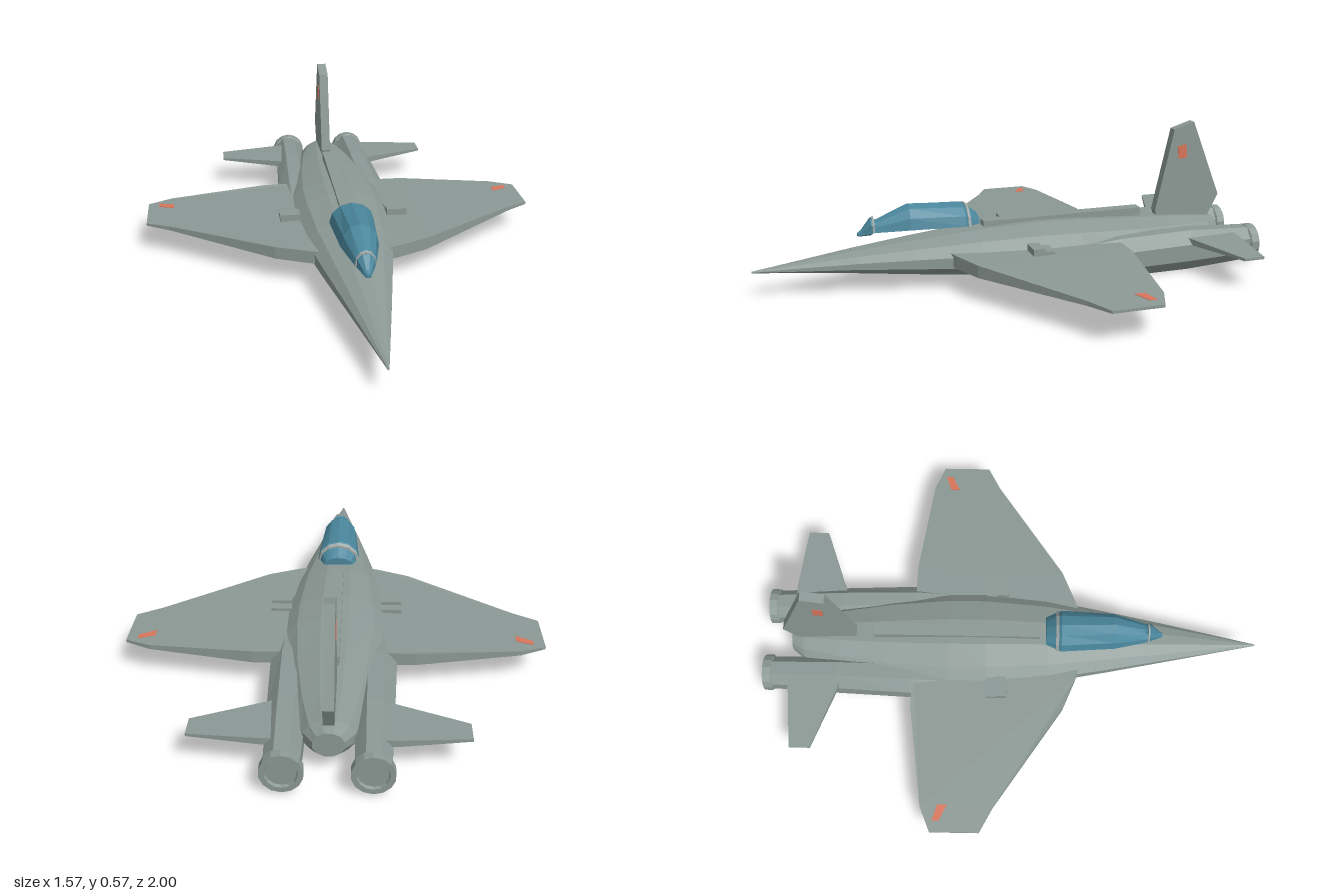
import * as THREE from 'three';

const flat = (name, color) => {
  const m = new THREE.MeshStandardMaterial({ color, flatShading: true });
  m.name = name;
  return m;
};

// Skin through elliptical sections [z, half width, bottom, top, centre x], from front to back
function loft(stations, sides, angle = Math.PI * 2, start = Math.PI / sides) {
  const pos = [], idx = [], full = angle > 6;
  const n = full ? sides : sides + 1;
  for (const [z, w, y0, y1, cx = 0] of stations) {
    for (let j = 0; j < n; j++) {
      const a = start + (j / sides) * angle;
      const y = full ? (y0 + y1) / 2 + ((y1 - y0) / 2) * Math.sin(a) / Math.cos(start)
        : y0 + (y1 - y0) * Math.sin(a);
      pos.push(cx + w * Math.cos(a), y, z);
    }
  }
  const last = stations.length - 1;
  for (let i = 0; i < last; i++) {
    for (let j = 0; j < n; j++) {
      const k = (j + 1) % n, a = i * n, b = a + n;
      idx.push(a + j, b + j, a + k, a + k, b + j, b + k);
    }
  }
  // End caps
  for (let j = 1; j < n - 1; j++) {
    idx.push(0, j, j + 1, last * n, last * n + j + 1, last * n + j);
  }
  const g = new THREE.BufferGeometry();
  g.setAttribute('position', new THREE.Float32BufferAttribute(pos, 3));
  g.setIndex(idx);
  const out = g.toNonIndexed();
  out.computeVertexNormals();
  return out;
}

const extrude = (pts, depth) => new THREE.ExtrudeGeometry(
  new THREE.Shape(pts.map(([a, b]) => new THREE.Vector2(a, b))), { depth, bevelEnabled: false });

// Horizontal plate from [x, z] points; half thickness follows x
function wingPlate(pts, side, midY, halfAt) {
  const g = extrude(pts.map(([x, z]) => [x * side, -z]), 1).rotateX(-Math.PI / 2);
  const p = g.attributes.position;
  for (let i = 0; i < p.count; i++) {
    p.setY(i, midY + (p.getY(i) > 0.5 ? 1 : -1) * halfAt(Math.abs(p.getX(i))));
  }
  g.computeVertexNormals();
  return g;
}

// Upright plate from [z, y] points, centred on x = 0
const finPlate = (pts, width) =>
  extrude(pts.map(([z, y]) => [-z, y]), width).rotateY(Math.PI / 2).translate(-width / 2, 0, 0);

export function createModel() {
  const model = new THREE.Group();
  model.name = 'jet';
  const grey = flat('hull grey', 0x8c9995);
  const glass = flat('canopy blue', 0x4a869c);
  const red = flat('marking red', 0xd8755a);
  const pale = flat('frame grey', 0xa0aaa8);
  const add = (name, geometry, material) => {
    const m = new THREE.Mesh(geometry, material);
    m.name = name;
    model.add(m);
    return m;
  };
  const box = (name, x0, x1, y0, y1, z0, z1) => add(name,
    new THREE.BoxGeometry(x1 - x0, y1 - y0, z1 - z0)
      .translate((x0 + x1) / 2, (y0 + y1) / 2, (z0 + z1) / 2), grey);

  // Fuselage and spine
  add('fuselage', loft([
    [1, 0.003, 0.108, 0.114], [0.62, 0.083, 0.076, 0.163], [0.4, 0.128, 0.053, 0.187],
    [0.15, 0.176, 0.03, 0.21], [-0.1, 0.2, 0.018, 0.221], [-0.25, 0.202, 0.014, 0.217],
    [-0.5, 0.175, 0.012, 0.203], [-0.7, 0.135, 0.025, 0.19], [-0.84, 0.092, 0.05, 0.178],
    [-0.89, 0.055, 0.075, 0.165],
  ], 12), grey);
  box('spine', -0.024, 0.024, 0.19, 0.235, -0.55, 0.115);

  // Canopy with its two frames
  add('canopy', loft([
    [0.605, 0.008, 0.215, 0.228], [0.545, 0.037, 0.232, 0.268], [0.41, 0.07, 0.24, 0.327],
    [0.2, 0.085, 0.24, 0.316], [0.14, 0.058, 0.24, 0.27],
  ], 6, Math.PI, 0), glass);
  add('windshieldBase', loft([
    [0.6, 0.008, 0.213, 0.225], [0.555, 0.034, 0.217, 0.28], [0.53, 0.03, 0.235, 0.27],
  ], 8), glass);
  add('frontCanopyFrame', loft([
    [0.55, 0.038, 0.232, 0.287], [0.543, 0.04, 0.232, 0.29]], 6, Math.PI, 0), pale);
  add('rearCanopyFrame', loft([
    [0.19, 0.085, 0.238, 0.315], [0.178, 0.081, 0.238, 0.308]], 6, Math.PI, 0), pale);

  // Tail fin with a marking on each face
  add('tailFin', finPlate([
    [-0.62, 0.215], [-0.692, 0.55], [-0.778, 0.577], [-0.905, 0.263], [-0.86, 0.175], [-0.63, 0.18],
  ], 0.038), grey);
  add('finMarking', finPlate([
    [-0.71, 0.48], [-0.748, 0.487], [-0.752, 0.43], [-0.715, 0.427]], 0.042), red);

  const wing = [[0.1, 0.285], [0.17, 0.26], [0.29, 0.21], [0.69, -0.06], [0.785, -0.11],
    [0.785, -0.3], [0.69, -0.34], [0.3, -0.395], [0.1, -0.395]];
  const tail = [[0.13, -0.655], [0.21, -0.69], [0.465, -0.785], [0.465, -0.867],
    [0.22, -0.893], [0.13, -0.893]];
  const mark = [[0.68, -0.272], [0.742, -0.292], [0.742, -0.265], [0.68, -0.235]];
  const wingHalf = x => 0.005 + 0.02 * Math.min(1, (0.785 - x) / 0.52);

  for (const s of [1, -1]) {
    const label = s > 0 ? 'left' : 'right';
    add(label + 'Wing', wingPlate(wing, s, 0.127 + 0.003, wingHalf), grey);
    add(label + 'WingMarking', wingPlate(mark, s, 0.138, x => wingHalf(x) - 0.006), red);
    add(label + 'Tailplane', wingPlate(tail, s, 0.132, x => 0.005 + 0.03 * (0.465 - x)), grey);

    // Engine nacelle and nozzle
    add(label + 'Nacelle', loft([
      [-0.01, 0.055, 0.045, 0.1, s * 0.155], [-0.2, 0.072, 0.022, 0.145, s * 0.157],
      [-0.4, 0.08, 0.008, 0.165, s * 0.157], [-0.7, 0.073, 0.006, 0.17, s * 0.15],
      [-0.97, 0.064, 0.02, 0.155, s * 0.145],
    ], 8), grey);
    const nozzle = [[0.064, 0.962], [0.072, 0.968], [0.072, 1], [0.054, 1], [0.05, 0.99], [0, 0.99]];
    add(label + 'Nozzle', new THREE.LatheGeometry(
      nozzle.map(([r, h]) => new THREE.Vector2(r, h)), 14)
      .rotateX(-Math.PI / 2).translate(s * 0.145, 0.089, 0), grey);

    // Stepped block at the wing root
    const [a, b] = s > 0 ? [0.175, 0.255] : [-0.255, -0.175];
    box(label + 'RootBlockFront', a, b, 0.055, 0.18, -0.06, -0.015);
    box(label + 'RootBlockRear', a, b, 0.07, 0.167, -0.1, -0.06);
  }
  return model;
}
